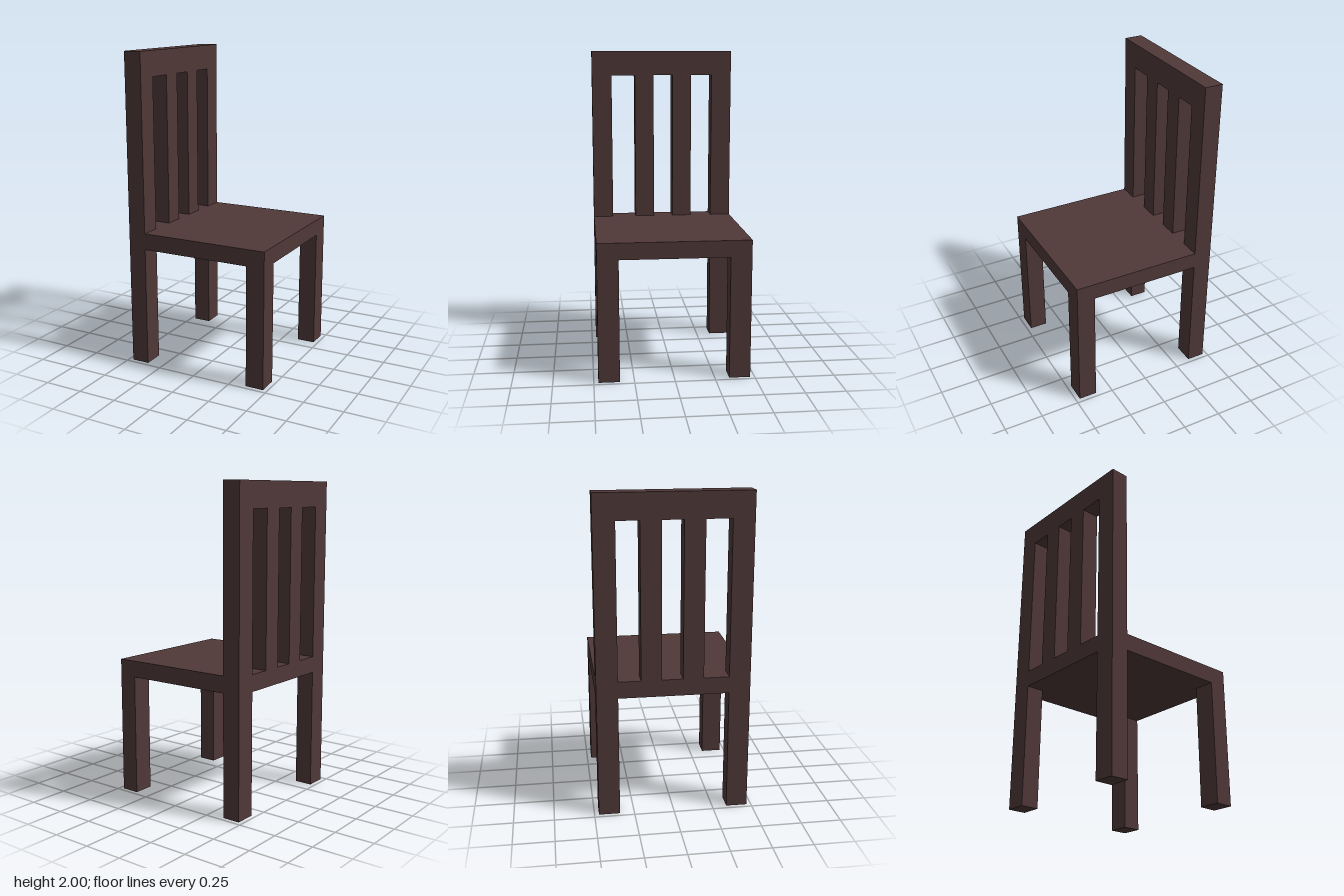
import * as THREE from 'three';

const HALF = 0.472;        // half width and half depth
const INNER = 0.34;        // inner face of the legs in z
const BACK_FRONT = -0.357; // front face of the backrest
const SEAT_LOW = 0.77, SEAT_TOP = 0.875, RAIL_LOW = 1.84, TOP = 2;

export function createModel() {
  const chair = new THREE.Group();
  chair.name = 'chair';
  const wood = new THREE.MeshStandardMaterial({ color: 0x503838 });

  const add = (name, geometry) => {
    const mesh = new THREE.Mesh(geometry, wood);
    mesh.name = name;
    chair.add(mesh);
    return mesh;
  };
  // Box given by its lower and upper corners
  const box = (name, [x0, y0, z0], [x1, y1, z1]) =>
    add(name, new THREE.BoxGeometry(x1 - x0, y1 - y0, z1 - z0))
      .position.set((x0 + x1) / 2, (y0 + y1) / 2, (z0 + z1) / 2);
  const points = (list) => list.map(([z, y]) => new THREE.Vector2(z, y));

  // Backrest, with the back legs in one piece: outline in z and y
  const outline = new THREE.Shape(points([
    [-HALF, 0], [-INNER, 0], [-INNER, SEAT_LOW], [INNER, SEAT_LOW],
    [INNER, 0], [HALF, 0], [HALF, TOP], [-HALF, TOP],
  ]));
  // Openings between the posts and the two slats
  for (const [a, b] of [[-INNER, -0.2], [-0.073, 0.056], [0.183, INNER]]) {
    outline.holes.push(new THREE.Path(points([
      [a, SEAT_TOP], [a, RAIL_LOW], [b, RAIL_LOW], [b, SEAT_TOP],
    ])));
  }
  const back = new THREE.ExtrudeGeometry(outline, {
    depth: BACK_FRONT + HALF, bevelEnabled: false,
  });
  back.rotateY(-Math.PI / 2);
  add('backrestAndBackLegs', back).position.x = BACK_FRONT;

  // Seat
  box('seat', [BACK_FRONT, SEAT_LOW, -HALF], [HALF, SEAT_TOP, HALF]);

  // Front legs
  box('frontLegLeft', [0.355, 0, -HALF], [HALF, SEAT_LOW, -INNER]);
  box('frontLegRight', [0.355, 0, INNER], [HALF, SEAT_LOW, HALF]);

  return chair;
}
